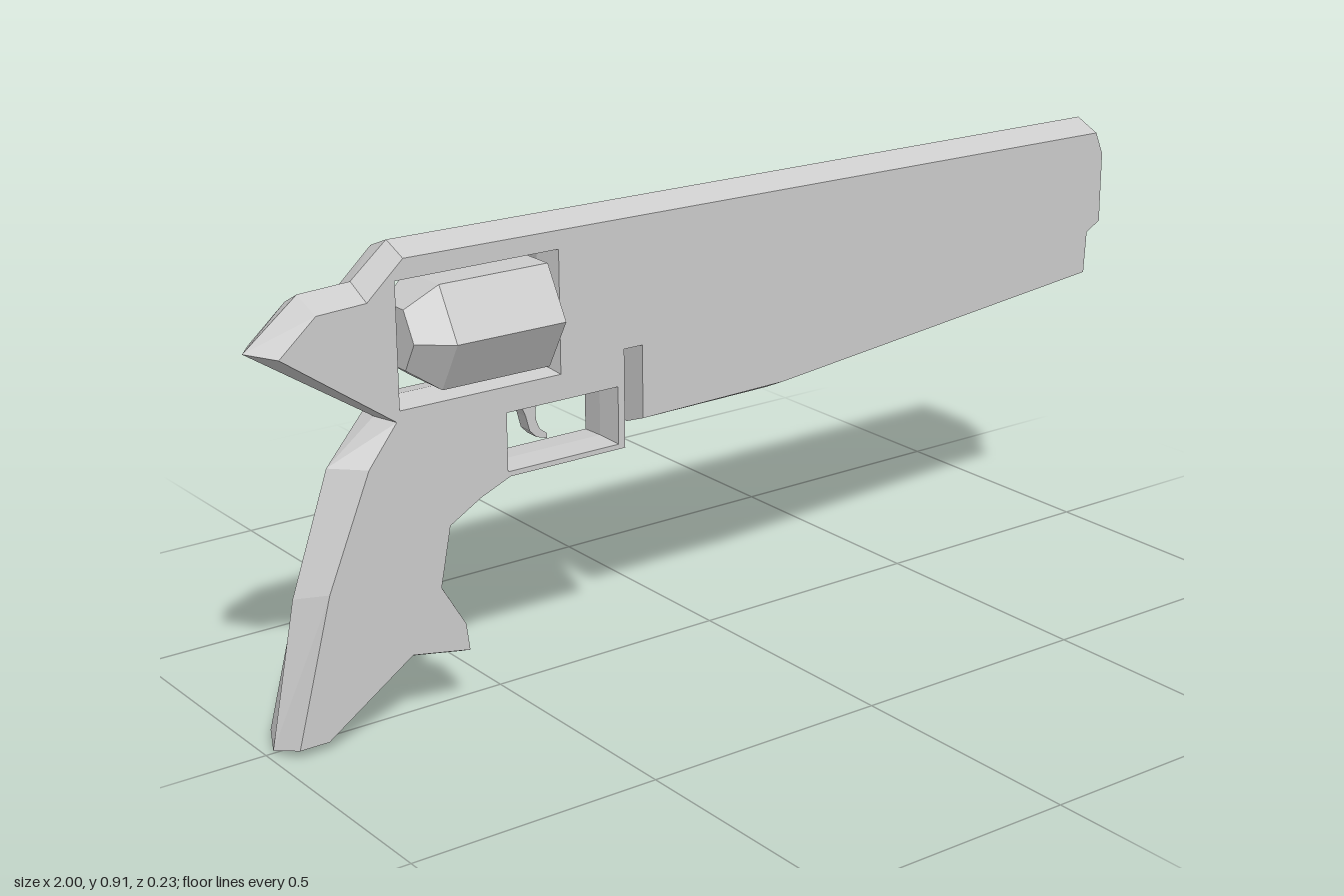
import * as THREE from 'three';

const material = new THREE.MeshStandardMaterial({ color: 0xcccccc, flatShading: true });
const HALF = 0.055; // half thickness of the flat sides
const BORE = { y: 0.828, r: 0.038, depth: 0.1 };

// Each row: ridge x, ridge y (on the centre plane), side x, side y (on the flat faces)
const outline = [
  [-1.0, 0.755, -0.96, 0.75], [-0.89, 0.842, -0.885, 0.815], [-0.785, 0.847, -0.785, 0.82],
  [-0.71, 0.91, -0.71, 0.888], [0.98, 0.9, 0.98, 0.875],
  [1.0, BORE.y, 1.0, BORE.y], [1.0, 0.682, 1.0, 0.682],
  [0.97, 0.657, 0.965, 0.662], [0.96, 0.56, 0.96, 0.575],
  [0.14, 0.467, 0.14, 0.493], [-0.2, 0.467, -0.2, 0.488],
  // slot between the trigger guard and the barrel housing
  [-0.2, 0.633, -0.2, 0.633], [-0.23, 0.633, -0.242, 0.633], [-0.23, 0.418, -0.242, 0.438],
  [-0.5, 0.418, -0.5, 0.438], [-0.56, 0.395, -0.565, 0.411], [-0.62, 0.357, -0.632, 0.372],
  // grip
  [-0.64, 0.26, -0.655, 0.256], [-0.592, 0.175, -0.605, 0.172], [-0.583, 0.092, -0.598, 0.118],
  [-0.71, 0.115, -0.72, 0.14], [-0.89, 0.0, -0.9, 0.018], [-0.985, 0.005, -0.96, 0.018],
  [-0.93, 0.285, -0.885, 0.3], [-0.85, 0.515, -0.795, 0.515], [-0.75, 0.592, -0.735, 0.592],
];
const MUZZLE = [4, 5]; // outline segments closed by the muzzle face instead

// Opening with a slight inner ridge, counter-clockwise
function opening(x0, x1, y0, y1, e) {
  return [
    [x0 + e, y0 + e, x0, y0], [x1 - e, y0 + e, x1, y0],
    [x1 - e, y1 - e, x1, y1], [x0 + e, y1 - e, x0, y1],
  ];
}
const holes = [opening(-0.728, -0.385, 0.612, 0.85, 0.012), opening(-0.505, -0.257, 0.448, 0.562, 0.004)];

function meshFrom(name, positions) {
  const g = new THREE.BufferGeometry();
  g.setAttribute('position', new THREE.Float32BufferAttribute(positions, 3));
  g.computeVertexNormals();
  const m = new THREE.Mesh(g, material);
  m.name = name;
  return m;
}

const sidePoints = (loop) => loop.map((p) => new THREE.Vector2(p[2], p[3]));

// Frame: two flat faces joined to a central ridge by sloping walls
function makeFrame() {
  const out = [];
  const tri = (a, b, c) => out.push(...a, ...b, ...c);

  const shape = new THREE.Shape(sidePoints(outline));
  for (const h of holes) shape.holes.push(new THREE.Path(sidePoints(h)));
  const flat = new THREE.ShapeGeometry(shape);
  const pos = flat.attributes.position;
  const idx = flat.index.array;
  const at = (i, z) => [pos.getX(i), pos.getY(i), z];
  for (let i = 0; i < idx.length; i += 3) {
    tri(at(idx[i], HALF), at(idx[i + 1], HALF), at(idx[i + 2], HALF));
    tri(at(idx[i], -HALF), at(idx[i + 2], -HALF), at(idx[i + 1], -HALF));
  }

  for (const loop of [outline, ...holes]) {
    loop.forEach((p, i) => {
      if (loop === outline && MUZZLE.includes(i)) return;
      const q = loop[(i + 1) % loop.length];
      const a = [p[0], p[1], 0], b = [q[0], q[1], 0];
      for (const z of [HALF, -HALF]) {
        const A = [p[2], p[3], z], B = [q[2], q[3], z];
        if (z > 0) { tri(a, A, B); tri(a, B, b); }
        else { tri(a, B, A); tri(a, b, B); }
      }
    });
  }
  return meshFrom('frame', out);
}

// Muzzle face: two polygons around the diamond bore, the upper one leaning back
function makeMuzzle() {
  const { y, r } = BORE;
  const upper = [[-HALF, y], [-r, y], [0, y + r], [r, y], [HALF, y], [HALF, 0.875], [0, 0.9], [-HALF, 0.875]];
  const lower = [[-HALF, y], [-HALF, 0.682], [HALF, 0.682], [HALF, y], [r, y], [0, y - r], [-r, y]];
  const group = new THREE.Group();
  group.name = 'muzzle';
  for (const poly of [upper, lower]) {
    const g = new THREE.ShapeGeometry(new THREE.Shape(poly.map((p) => new THREE.Vector2(...p))));
    g.rotateY(Math.PI / 2);
    const p = g.attributes.position;
    for (let i = 0; i < p.count; i++) {
      p.setX(i, 1 - 0.02 * Math.max(0, p.getY(i) - y) / (0.888 - y));
    }
    g.computeVertexNormals();
    const m = new THREE.Mesh(g, material);
    m.name = 'muzzleFace';
    group.add(m);
  }
  // bore walls and floor
  const boreMaterial = material.clone();
  boreMaterial.side = THREE.DoubleSide;
  const walls = new THREE.CylinderGeometry(r, r, BORE.depth, 4, 1, true).rotateZ(-Math.PI / 2);
  const bore = new THREE.Mesh(walls, boreMaterial);
  bore.position.set(0.995 - BORE.depth / 2, y, 0);
  bore.name = 'bore';
  const floor = new THREE.Mesh(new THREE.CircleGeometry(r, 4).rotateY(Math.PI / 2), boreMaterial);
  floor.position.set(0.995 - BORE.depth, y, 0);
  floor.name = 'boreFloor';
  group.add(bore, floor);
  return group;
}

// Six-sided drum with a tapered rear, lying along x
function makeDrum() {
  const profile = [[0, -0.7], [0.065, -0.7], [0.113, -0.64], [0.113, -0.41], [0, -0.41]]
    .map((p) => new THREE.Vector2(...p));
  const g = new THREE.LatheGeometry(profile, 6).rotateZ(-Math.PI / 2);
  const drum = new THREE.Mesh(g, material);
  drum.position.y = 0.731;
  drum.name = 'drum';
  return drum;
}

// Curved trigger hanging from the top of its opening
function makeTrigger() {
  const shape = new THREE.Shape([
    [-0.455, 0.57], [-0.438, 0.53], [-0.43, 0.5], [-0.415, 0.485], [-0.392, 0.478],
    [-0.392, 0.488], [-0.408, 0.5], [-0.416, 0.52], [-0.416, 0.54], [-0.405, 0.57],
  ].map((p) => new THREE.Vector2(...p)));
  const g = new THREE.ExtrudeGeometry(shape, { depth: 0.03, bevelEnabled: false });
  g.translate(0, 0, -0.015);
  const trigger = new THREE.Mesh(g, material);
  trigger.name = 'trigger';
  return trigger;
}

export function createModel() {
  const model = new THREE.Group();
  model.name = 'revolver';
  model.add(makeFrame(), makeMuzzle(), makeDrum(), makeTrigger());
  return model;
}
